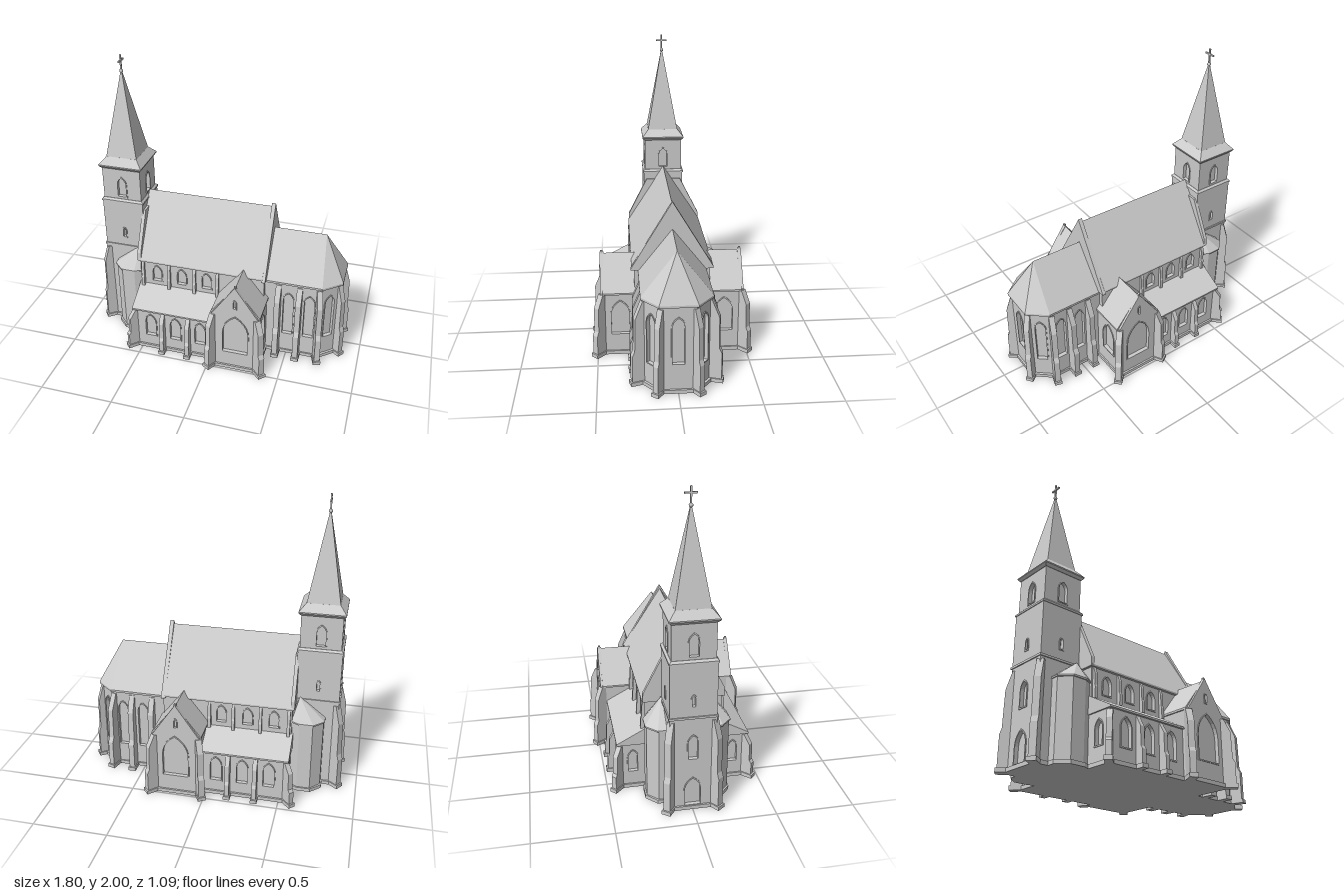
import * as THREE from 'three';
import { ConvexGeometry } from 'three/addons/geometries/ConvexGeometry.js';

const stone = new THREE.MeshStandardMaterial({ color: 0xcccccc });
stone.name = 'pale stone';
const T = 0.025; // wall thickness, also the window reveal depth

function add(parent, name, geometry, x = 0, y = 0, z = 0) {
  const m = new THREE.Mesh(geometry, stone);
  m.name = name;
  m.position.set(x, y, z);
  parent.add(m);
  return m;
}
const box = (p, name, w, h, d, x, y, z) => add(p, name, new THREE.BoxGeometry(w, h, d), x, y, z);
const hull = (p, name, pts) => add(p, name, new ConvexGeometry(pts.map(a => new THREE.Vector3(...a))));

// Pointed arch outline: centre u, width w, sill y0, apex y1
function arch(P, u, w, y0, y1) {
  const s = new P(), h = w / 2, spring = y1 - Math.min(w * 0.85, (y1 - y0) * 0.6);
  s.moveTo(u - h, y0);
  s.lineTo(u + h, y0);
  s.lineTo(u + h, spring);
  s.quadraticCurveTo(u + h, spring + (y1 - spring) * 0.65, u, y1);
  s.quadraticCurveTo(u - h, spring + (y1 - spring) * 0.65, u - h, spring);
  s.closePath();
  return s;
}
const extrude = (shape, depth) =>
  new THREE.ExtrudeGeometry(shape, { depth, bevelEnabled: false, curveSegments: 5 });

// Wall from a to b ([x, z], a on the left seen from outside), with window openings [u, w, y0, y1]
function wall(parent, name, a, b, y0, y1, wins = [], peak = 0) {
  const g = new THREE.Group();
  g.name = name;
  const dx = b[0] - a[0], dz = b[1] - a[1], L = Math.hypot(dx, dz);
  g.position.set(a[0], 0, a[1]);
  g.rotation.y = Math.atan2(-dz, dx);
  parent.add(g);
  const s = new THREE.Shape();
  s.moveTo(0, y0);
  s.lineTo(L, y0);
  s.lineTo(L, y1);
  if (peak) s.lineTo(L / 2, peak);
  s.lineTo(0, y1);
  s.closePath();
  for (const [u, w, wy0, wy1] of wins) {
    s.holes.push(arch(THREE.Path, u, w, wy0, wy1));
    box(g, 'windowPane', w + 0.01, wy1 - wy0 + 0.01, 0.004, u, (wy0 + wy1) / 2, -T + 0.002);
    const trim = arch(THREE.Shape, u, w + 0.016, wy0 - 0.008, wy1 + 0.01);
    trim.holes.push(arch(THREE.Path, u, w, wy0, wy1));
    add(g, 'windowTrim', extrude(trim, 0.005));
  }
  add(g, 'wallPanel', extrude(s, T), 0, 0, -T);
}
// Same wall on the +z side (s = 1) or mirrored to the -z side (s = -1)
function sideWall(p, s, name, a, b, y0, y1, wins = [], peak = 0) {
  if (s > 0) return wall(p, name, a, b, y0, y1, wins, peak);
  const L = Math.hypot(b[0] - a[0], b[1] - a[1]);
  wall(p, name, [b[0], -b[1]], [a[0], -a[1]], y0, y1, wins.map(([u, ...r]) => [L - u, ...r]), peak);
}

// Stepped buttress standing at (x, z), projecting d towards (dx, dz)
function buttress(p, x, z, dx, dz, d, h, w = 0.038, y0 = 0) {
  const k = h - y0;
  const pts = [[-0.03, y0], [d, y0], [d, y0 + k * 0.36], [d * 0.78, y0 + k * 0.42],
    [d * 0.72, y0 + k * 0.8], [0.005, h], [-0.03, h]];
  const m = add(p, 'buttress', extrude(new THREE.Shape(pts.map(q => new THREE.Vector2(...q))), w).translate(0, 0, -w / 2), x, 0, z);
  m.rotation.y = Math.atan2(-dz, dx);
  if (y0 === 0) {
    const foot = box(p, 'buttressFoot', d + 0.04, 0.026, w + 0.014, x, 0.013, z);
    foot.rotation.y = m.rotation.y;
    foot.translateX(d / 2 - 0.01);
  }
}
// Closed base slab under a convex outline
function plinth(p, pts) {
  hull(p, 'plinth', pts.flatMap(([x, z]) => [[x, 0, z], [x, 0.025, z]]));
}
const square = (cx, h, y) => [[cx - h, y, -h], [cx + h, y, -h], [cx + h, y, h], [cx - h, y, h]];

export function createModel() {
  const root = new THREE.Group();
  root.name = 'church';
  const part = name => {
    const g = new THREE.Group();
    g.name = name;
    root.add(g);
    return g;
  };

  // Tower: two storeys, string courses, flared spire and cross
  const tower = part('tower'), C = -0.7;
  for (const [h, y0, y1] of [[0.145, 0, 1], [0.135, 1, 1.27]]) {
    const c = [[C - h, h], [C + h, h], [C + h, -h], [C - h, -h]];
    for (let i = 0; i < 4; i++) {
      const wins = y0 ? [[h, 0.06, 1.04, 1.18]] : [[h, 0.02, 0.72, 0.79]];
      if (!y0 && i === 3) wins.push([h, 0.1, 0.03, 0.22], [h, 0.06, 0.36, 0.52]);
      wall(tower, 'towerWall', c[i], c[(i + 1) % 4], y0, y1, y0 || i !== 1 ? wins : []);
    }
  }
  plinth(tower, square(C, 0.157, 0).map(([x, , z]) => [x, z]));
  box(tower, 'stringCourse', 0.305, 0.014, 0.305, C, 0.645, 0);
  hull(tower, 'stringCourse', [...square(C, 0.15, 0.995), ...square(C, 0.15, 1.007), ...square(C, 0.137, 1.02)]);
  hull(tower, 'spireEaves', [...square(C, 0.138, 1.245), ...square(C, 0.152, 1.262), ...square(C, 0.152, 1.27), ...square(C, 0.108, 1.32)]);
  hull(tower, 'spire', [...square(C, 0.108, 1.318), ...square(C, 0.006, 1.88)]);
  add(tower, 'finialBall', new THREE.SphereGeometry(0.013, 10, 8), C, 1.893, 0);
  box(tower, 'crossPost', 0.01, 0.11, 0.01, C, 1.945, 0);
  box(tower, 'crossArm', 0.01, 0.01, 0.076, C, 1.962, 0);

  // Nave with steep roof and raised gables at both ends
  const nave = part('nave');
  plinth(nave, [[-0.56, 0.26], [0.345, 0.26], [0.345, -0.26], [-0.56, -0.26]]);
  wall(nave, 'eastWall', [0.335, 0.25], [0.335, -0.25], 0, 0.63);
  wall(nave, 'westWall', [-0.55, -0.25], [-0.55, 0.25], 0, 0.63);
  const tri = (name, x0, x1, hz, y0, y1) =>
    hull(nave, name, [x0, x1].flatMap(x => [[x, y0, -hz], [x, y0, hz], [x, y0 + 0.012, -hz], [x, y0 + 0.012, hz], [x, y1, 0]]));
  tri('naveRoof', -0.555, 0.325, 0.268, 0.618, 1.048);
  tri('eastGable', 0.318, 0.345, 0.272, 0.605, 1.072);
  hull(nave, 'westGable', [-0.565, -0.54].flatMap(x => [-1, 1].flatMap(s =>
    [[x, 0.62, s * 0.265], [x, 0.68, s * 0.262], [x, 0.95, s * 0.125]])));

  // Aisles, clerestory, transepts and stair turrets on both sides
  const sides = part('sides'), bays = [-0.43, -0.25, -0.07];
  for (const s of [1, -1]) {
    sideWall(sides, s, 'clerestoryWall', [-0.55, 0.25], [0.335, 0.25], 0.4, 0.63,
      bays.map(x => [x + 0.55, 0.065, 0.465, 0.585]));
    for (const x of [-0.53, -0.34, -0.155, 0.01])
      buttress(sides, x, s * 0.25, 0, s, 0.025, 0.62, 0.02, 0.42);

    sideWall(sides, s, 'aisleWall', [-0.55, 0.42], [0.04, 0.42], 0, 0.33,
      bays.map(x => [x + 0.55, 0.075, 0.11, 0.285]));
    sideWall(sides, s, 'aisleEndWall', [-0.55, 0.24], [-0.55, 0.42], 0, 0.33, [[0.09, 0.06, 0.12, 0.27]]);
    hull(sides, 'aisleRoof', [-0.56, 0.04].flatMap(x =>
      [[x, 0.318, s * 0.24], [x, 0.318, s * 0.435], [x, 0.33, s * 0.435], [x, 0.435, s * 0.24]]));
    plinth(sides, [[-0.56, 0.2 * s], [0.05, 0.2 * s], [0.05, 0.432 * s], [-0.56, 0.432 * s]]);
    for (const x of [-0.34, -0.155]) buttress(sides, x, s * 0.42, 0, s, 0.055, 0.31, 0.03);
    buttress(sides, -0.545, s * 0.415, -0.7, s * 0.7, 0.065, 0.31, 0.035);

    // Transept
    const z = 0.475;
    sideWall(sides, s, 'transeptGable', [0.03, z], [0.35, z], 0, 0.445,
      [[0.165, 0.175, 0.14, 0.44], [0.16, 0.016, 0.515, 0.575]], 0.68);
    sideWall(sides, s, 'transeptEastWall', [0.35, z], [0.35, 0.2], 0, 0.45, [[0.13, 0.12, 0.15, 0.39]]);
    sideWall(sides, s, 'transeptWestWall', [0.03, 0.2], [0.03, z], 0, 0.45);
    hull(sides, 'transeptRoof', [0.2, z - 0.015].flatMap(d =>
      [[0.02, 0.438, s * d], [0.36, 0.438, s * d], [0.02, 0.45, s * d], [0.36, 0.45, s * d], [0.19, 0.67, s * d]]));
    box(sides, 'gableFinial', 0.014, 0.03, 0.014, 0.19, 0.672, s * (z - 0.012));
    plinth(sides, [[0.02, 0.2 * s], [0.36, 0.2 * s], [0.36, 0.487 * s], [0.02, 0.487 * s]]);
    buttress(sides, 0.345, s * 0.47, 0.7, s * 0.7, 0.065, 0.44, 0.042);
    buttress(sides, 0.035, s * 0.47, -0.5, s * 0.87, 0.06, 0.44, 0.042);

    // Stair turret with half-conical roof
    const foot = [[-0.55, 0.1], [-0.755, 0.1], [-0.755, 0.195], [-0.69, 0.262], [-0.6, 0.262], [-0.55, 0.235]];
    hull(sides, 'turretWall', foot.flatMap(([x, d]) => [[x, 0, s * d], [x, 0.525, s * d]]));
    hull(sides, 'turretRoof', [...foot.flatMap(([x, d]) => {
      const ex = -0.64 + (x + 0.64) * 1.06, ed = d > 0.15 ? d + 0.008 : d;
      return [[ex, 0.515, s * ed], [ex, 0.525, s * ed]];
    }), [-0.585, 0.665, s * 0.15]]);
    plinth(sides, foot.map(([x, d]) => [-0.64 + (x + 0.64) * 1.08, s * (d + 0.01)]));
    buttress(tower, C - 0.137, s * 0.137, -0.8, s * 0.6, 0.055, 0.62, 0.045);
  }

  // Choir with three-sided apse, tall windows and hipped roof
  const choir = part('choir');
  const plan = [[0.33, 0.215], [0.71, 0.215], [0.835, 0.11], [0.835, -0.11], [0.71, -0.215], [0.33, -0.215]];
  const tall = u => [u, 0.07, 0.17, 0.51];
  const glazing = [[0.17, 0.315].map(tall), [tall(0.082)], [[0.11, 0.075, 0.2, 0.51]], [tall(0.082)], [0.065, 0.21].map(tall)];
  for (let i = 0; i < 5; i++) wall(choir, 'choirWall', plan[i], plan[i + 1], 0, 0.6, glazing[i]);
  const grow = (x, z, k) => [x + (x > 0.4 ? k : 0), z + Math.sign(z) * k * 0.7];
  plinth(choir, plan.map(([x, z]) => grow(x, z, 0.013)));
  hull(choir, 'choirRoof', [...plan.flatMap(([x, z]) => {
    const [ex, ez] = grow(x, z, 0.014);
    return [[ex, 0.585, ez], [ex, 0.6, ez]];
  }), [0.33, 0.888, 0], [0.7, 0.888, 0]]);
  for (const s of [1, -1]) {
    for (const x of [0.43, 0.575]) buttress(choir, x, s * 0.215, 0, s, 0.075, 0.57);
    buttress(choir, 0.708, s * 0.213, 0.3, s * 0.95, 0.075, 0.57);
    buttress(choir, 0.83, s * 0.11, 0.8, s * 0.6, 0.055, 0.57);
  }
  return root;
}
